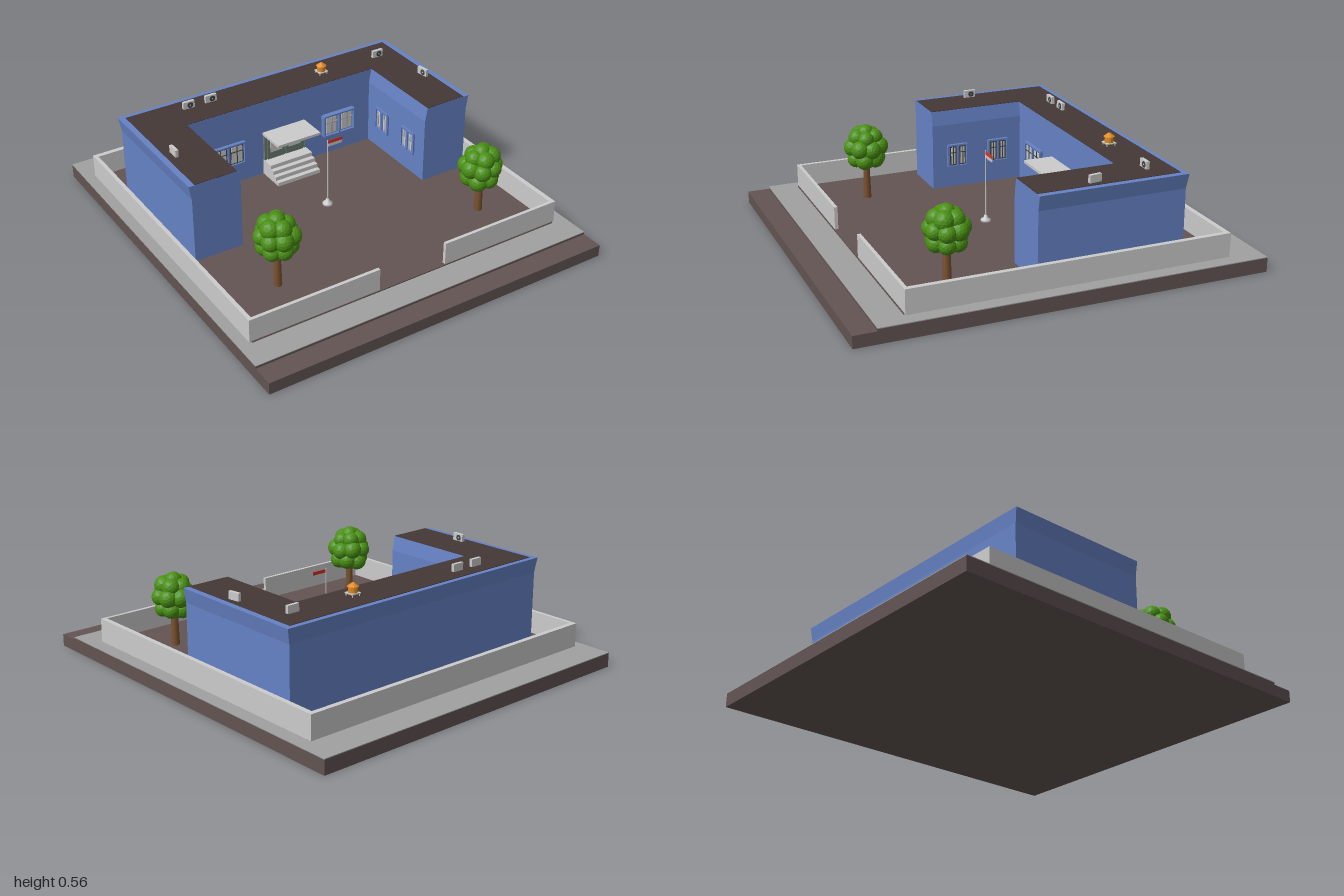
import * as THREE from 'three';

const mat = (color, extra = {}) => new THREE.MeshStandardMaterial({ color, ...extra });
const M = {
  grey: mat(0xcccccc), paving: mat(0xa0a0a0), soil: mat(0x625453), blue: mat(0x6682c5, { flatShading: true }),
  roof: mat(0x443836), dark: mat(0x404444), door: mat(0x6c7d74), glass: mat(0xd4d6d6),
  leaf: mat(0x4a9014, { flatShading: true }), bark: mat(0x7a5230), orange: mat(0xe08a20, { flatShading: true }),
  red: mat(0xd83020), white: mat(0xf2f2f2),
};

function add(parent, name, geo, material, x = 0, y = 0, z = 0) {
  const m = new THREE.Mesh(geo, material);
  m.name = name;
  m.position.set(x, y, z);
  parent.add(m);
  return m;
}

// Box given by its minimum and maximum on each axis
function block(parent, name, material, x0, x1, y0, y1, z0, z1) {
  return add(parent, name, new THREE.BoxGeometry(x1 - x0, y1 - y0, z1 - z0), material,
    (x0 + x1) / 2, (y0 + y1) / 2, (z0 + z1) / 2);
}

function group(parent, name, x = 0, y = 0, z = 0, turn = 0) {
  const g = new THREE.Group();
  g.name = name;
  g.position.set(x, y, z);
  g.rotation.y = turn;
  parent.add(g);
  return g;
}

// U-shaped plan, open to the front; shape y is -z
function uPlan(outer, inner, front, court, back) {
  const pts = [[-outer, front], [-inner, front], [-inner, court], [inner, court],
    [inner, front], [outer, front], [outer, back], [-outer, back]];
  return new THREE.Shape(pts.map(([x, z]) => new THREE.Vector2(x, -z)));
}

// Framed window facing +z, its back on z = 0
function makeWindow(parent, name, x, y, z, turn, w, h, panes, bars, depth = 0.02) {
  const g = group(parent, name, x, y, z, turn);
  const t = 0.009, cell = w / panes;
  block(g, 'windowBack', M.blue, -w / 2, w / 2, -h / 2, h / 2, 0, depth * 0.4);
  for (const s of [-1, 1]) block(g, 'frameRail', M.blue, -w / 2, w / 2, s * h / 2 - t / 2, s * h / 2 + t / 2, 0, depth);
  for (let i = 0; i <= panes; i++) {
    const px = -w / 2 + i * cell;
    block(g, 'framePost', M.blue, px - t / 2, px + t / 2, -h / 2, h / 2, 0, depth);
  }
  for (let i = 0; i < panes; i++) {
    const cx = -w / 2 + (i + 0.5) * cell, hw = cell / 2 - 0.009, hh = h / 2 - 0.006;
    block(g, 'sash', bars ? M.dark : M.blue, cx - hw, cx + hw, -hh, hh, 0, depth * 0.6);
    block(g, 'pane', M.glass, cx - hw + 0.006, cx + hw - 0.006, -hh + 0.006, hh - 0.006, 0, depth * 0.7);
    const bar = bars ? M.dark : M.paving;
    block(g, 'verticalBar', bar, cx - 0.002, cx + 0.002, -hh, hh, 0, depth * 0.85);
    block(g, 'crossBar', bar, cx - hw, cx + hw, hh * 0.35 - 0.002, hh * 0.35 + 0.002, 0, depth * 0.85);
  }
}

function makeAirUnit(parent, x, z, turn) {
  const g = group(parent, 'airConditioner', x, 0.49, z, turn);
  block(g, 'housing', M.grey, -0.031, 0.031, 0.004, 0.043, -0.008, 0.008);
  for (const s of [-1, 1]) block(g, 'foot', M.dark, s * 0.022 - 0.004, s * 0.022 + 0.004, 0, 0.005, -0.007, 0.007);
  add(g, 'fan', new THREE.CylinderGeometry(0.015, 0.015, 0.003, 16).rotateX(Math.PI / 2), M.dark, 0.006, 0.023, 0.008);
  add(g, 'fanHub', new THREE.CylinderGeometry(0.004, 0.004, 0.003, 8).rotateX(Math.PI / 2), M.grey, 0.006, 0.023, 0.009);
}

function makeTree(parent, x, z, y, turn) {
  const g = group(parent, 'tree', x, 0, z, turn);
  add(g, 'trunk', new THREE.CylinderGeometry(0.015, 0.021, 0.22, 10), M.bark, 0, 0.185, 0);
  for (const s of [-1, 1]) {
    const b = add(g, 'branch', new THREE.CylinderGeometry(0.006, 0.01, 0.09, 6), M.bark, s * 0.022, 0.26, 0);
    b.rotation.z = -s * 0.6;
  }
  // Crown: rings of leafy clumps [count, ring radius, height, clump radius]
  const rings = [[1, 0, 0, 0.07], [6, 0.055, -0.055, 0.045], [7, 0.067, 0.005, 0.045], [5, 0.045, 0.055, 0.045], [1, 0, 0.078, 0.045]];
  rings.forEach(([n, r, h, size], k) => {
    for (let i = 0; i < n; i++) {
      const a = (i + k * 0.4) / n * Math.PI * 2;
      const clump = add(g, 'leafClump', new THREE.IcosahedronGeometry(size * (1 + 0.07 * Math.sin(i * 5 + k)), 2), M.leaf,
        Math.cos(a) * r, y + h + 0.006 * Math.sin(i * 3), Math.sin(a) * r);
      clump.rotation.set(i, k, i + k);
    }
  });
}

export function createModel() {
  const root = new THREE.Group();
  root.name = 'schoolGrounds';

  // Ground: road slab, pavement and yard
  block(root, 'roadSlab', M.soil, -0.91, 0.91, 0, 0.06, -1, 1);
  block(root, 'pavementEdge', M.soil, -0.91, 0.91, 0.06, 0.07, -1, 0.89);
  block(root, 'pavement', M.paving, -0.91, 0.91, 0.07, 0.074, -1, 0.89);
  block(root, 'yard', M.soil, -0.845, 0.83, 0.07, 0.079, -0.83, 0.75);

  // Boundary wall with a gate opening
  const fence = group(root, 'boundaryWall');
  block(fence, 'backWall', M.grey, -0.855, 0.84, 0.07, 0.193, -0.838, -0.813);
  block(fence, 'rightWall', M.grey, -0.855, -0.835, 0.07, 0.193, -0.838, 0.745);
  block(fence, 'leftWall', M.grey, 0.815, 0.84, 0.07, 0.193, -0.838, 0.745);
  block(fence, 'frontWallRight', M.grey, -0.855, -0.18, 0.07, 0.193, 0.728, 0.745);
  block(fence, 'frontWallLeft', M.grey, 0.185, 0.84, 0.07, 0.193, 0.728, 0.745);

  // Building: U-shaped walls leaning outward near the top
  const building = group(root, 'building');
  const walls = new THREE.ExtrudeGeometry(uPlan(0.775, 0.523, 0.107, -0.385, -0.625), { depth: 2, steps: 2, bevelEnabled: false });
  walls.rotateX(-Math.PI / 2);
  const p = walls.attributes.position, levels = [0.075, 0.42, 0.493];
  for (let i = 0; i < p.count; i++) {
    const level = Math.round(p.getY(i)), x = p.getX(i), z = p.getZ(i);
    p.setY(i, levels[level]);
    if (level === 2) {
      p.setX(i, x + Math.sign(x) * 0.013);
      if (z < -0.5) p.setZ(i, z - 0.007);
    }
  }
  walls.computeVertexNormals();
  add(building, 'walls', walls, M.blue);
  const roof = new THREE.ExtrudeGeometry(uPlan(0.757, 0.538, 0.106, -0.386, -0.606), { depth: 0.003, bevelEnabled: false });
  add(building, 'roof', roof.rotateX(-Math.PI / 2), M.roof, 0, 0.4925, 0);

  // Windows of the main wall and of both wings
  makeWindow(building, 'mainWindowRight', -0.325, 0.25, -0.386, 0, 0.185, 0.115, 2, true);
  makeWindow(building, 'mainWindowLeft', 0.325, 0.25, -0.386, 0, 0.185, 0.115, 2, false, 0.03);
  for (const z of [-0.255, -0.028]) {
    makeWindow(building, 'rightWingWindow', -0.524, 0.25, z, Math.PI / 2, 0.105, 0.115, 2, true, 0.018);
    makeWindow(building, 'leftWingWindow', 0.524, 0.25, z, -Math.PI / 2, 0.105, 0.115, 2, false, 0.01);
  }

  // Entrance: steps, double door and canopy
  const entrance = group(root, 'entrance');
  for (let i = 0; i < 4; i++) {
    block(entrance, 'step', M.grey, -0.122, 0.125, 0.075, 0.099 + i * 0.021, -0.386, -0.235 - i * 0.025);
  }
  block(entrance, 'doorFrame', M.door, -0.118, 0.123, 0.16, 0.307, -0.386, -0.376);
  for (const s of [-1, 1]) {
    const cx = 0.0025 + s * 0.054;
    block(entrance, 'doorLeaf', M.door, cx - 0.05, cx + 0.05, 0.162, 0.303, -0.386, -0.371);
    block(entrance, 'doorGlass', M.glass, cx - 0.036, cx + 0.036, 0.2, 0.297, -0.386, -0.369);
    block(entrance, 'doorHandle', M.dark, cx - s * 0.043 - 0.003, cx - s * 0.043 + 0.003, 0.215, 0.24, -0.386, -0.364);
    block(entrance, 'canopyPost', M.door, 0.0025 + s * 0.118 - 0.004, 0.0025 + s * 0.118 + 0.004, 0.16, 0.307, -0.386, -0.372);
  }
  block(entrance, 'canopy', M.grey, -0.122, 0.125, 0.306, 0.32, -0.386, -0.23);

  // Flagpole with a two-band flag
  const flag = group(root, 'flagpole', 0, 0, 0.03);
  const profile = [[0, 0.112], [0.008, 0.11], [0.01, 0.098], [0.024, 0.09], [0.026, 0.076], [0, 0.076]];
  add(flag, 'poleBase', new THREE.LatheGeometry(profile.reverse().map(q => new THREE.Vector2(...q)), 16), M.grey);
  add(flag, 'pole', new THREE.CylinderGeometry(0.003, 0.004, 0.36, 8), M.grey, 0, 0.265, 0);
  block(flag, 'flagUpperBand', M.red, 0.003, 0.083, 0.425, 0.441, -0.0015, 0.0015);
  block(flag, 'flagLowerBand', M.white, 0.003, 0.083, 0.409, 0.425, -0.0015, 0.0015);

  // Roof equipment
  makeAirUnit(root, -0.453, -0.53, 0);
  makeAirUnit(root, -0.33, -0.53, 0);
  makeAirUnit(root, 0.64, -0.485, 0);
  makeAirUnit(root, -0.715, -0.175, Math.PI / 2);
  makeAirUnit(root, 0.723, -0.19, -Math.PI / 2 + 0.15);
  const tank = group(root, 'waterTank', 0.292, 0.493, -0.485);
  block(tank, 'tankStand', M.grey, -0.026, 0.026, 0.013, 0.018, -0.026, 0.026);
  for (const sx of [-1, 1]) for (const sz of [-1, 1]) {
    add(tank, 'standLeg', new THREE.CylinderGeometry(0.003, 0.003, 0.014, 6), M.grey, sx * 0.021, 0.007, sz * 0.021);
  }
  add(tank, 'tankBody', new THREE.CylinderGeometry(0.022, 0.022, 0.03, 12), M.orange, 0, 0.033, 0);
  add(tank, 'tankLid', new THREE.CylinderGeometry(0.006, 0.027, 0.016, 12), M.orange, 0, 0.055, 0);

  // Trees in the yard
  makeTree(root, -0.545, 0.462, 0.35, 0);
  makeTree(root, 0.597, 0.464, 0.328, 2.2);

  return root;
}
